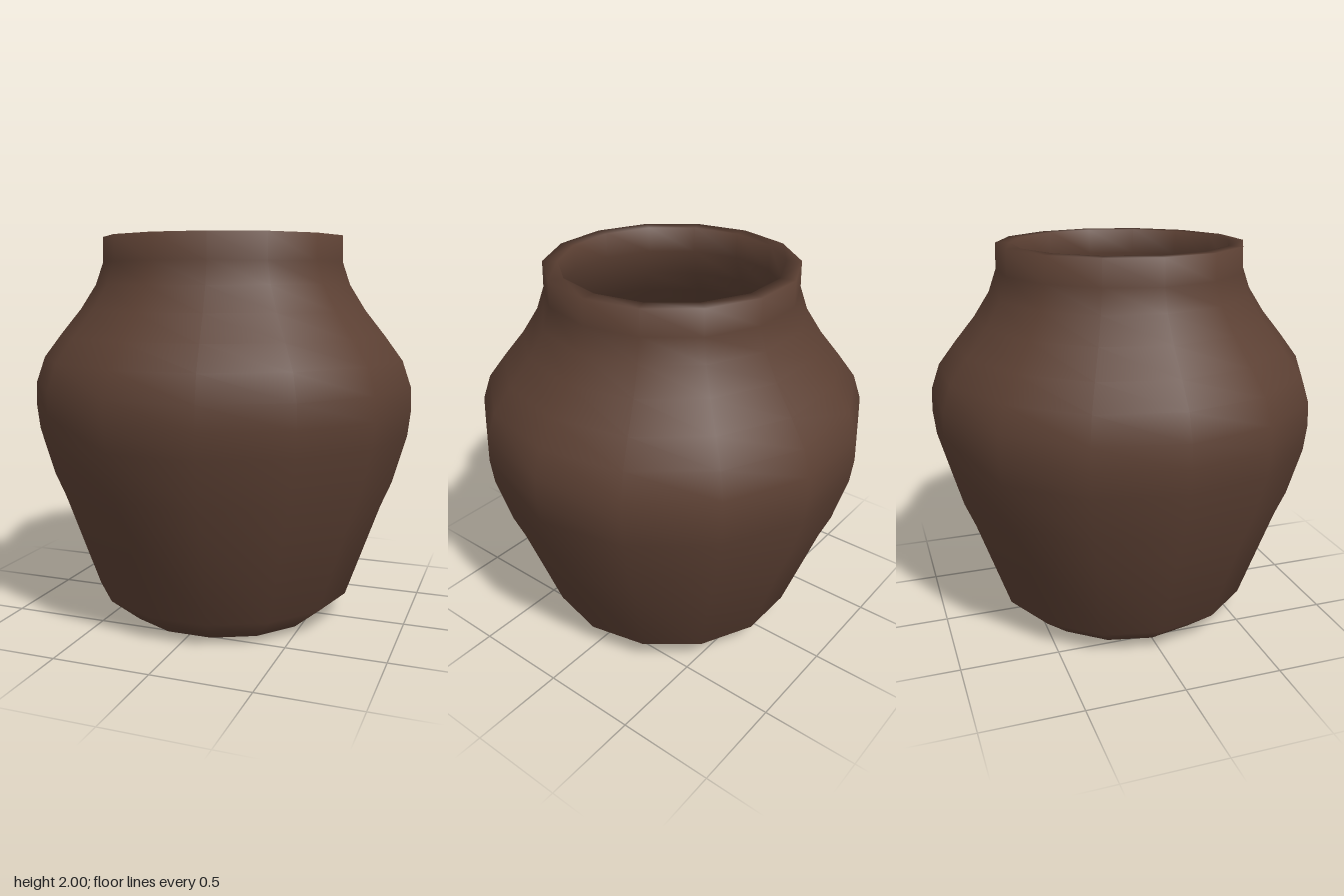
import * as THREE from 'three';

export function createModel() {
  const group = new THREE.Group();
  group.name = 'pot';
  const clay = new THREE.MeshStandardMaterial({ color: 0x5c4033 });
  clay.name = 'brownClay';

  // Profile as [radius, height]: underside, outer wall, rim, inner wall, floor
  const profile = [
    [0, 0], [0.525, 0], [0.685, 0.13], [0.86, 0.625], [0.915, 0.755],
    [0.985, 1.0], [1.0, 1.13], [0.995, 1.25], [0.95, 1.38], [0.86, 1.5],
    [0.755, 1.63], [0.675, 1.755], [0.635, 1.87], [0.632, 2.0],
    [0.557, 2.0], [0.555, 1.87], [0.6, 1.73], [0.69, 1.6], [0.79, 1.47],
    [0.88, 1.35], [0.92, 1.23], [0.925, 1.13], [0.91, 1.0], [0.84, 0.76],
    [0.785, 0.63], [0.62, 0.18], [0.48, 0.08], [0, 0.08],
  ].map(([r, y]) => new THREE.Vector2(r, y));

  // Fourteen smooth-shaded sides, one corner pointing along +x
  const body = new THREE.Mesh(new THREE.LatheGeometry(profile, 14, Math.PI / 2), clay);
  body.name = 'potBody';
  group.add(body);
  return group;
}
